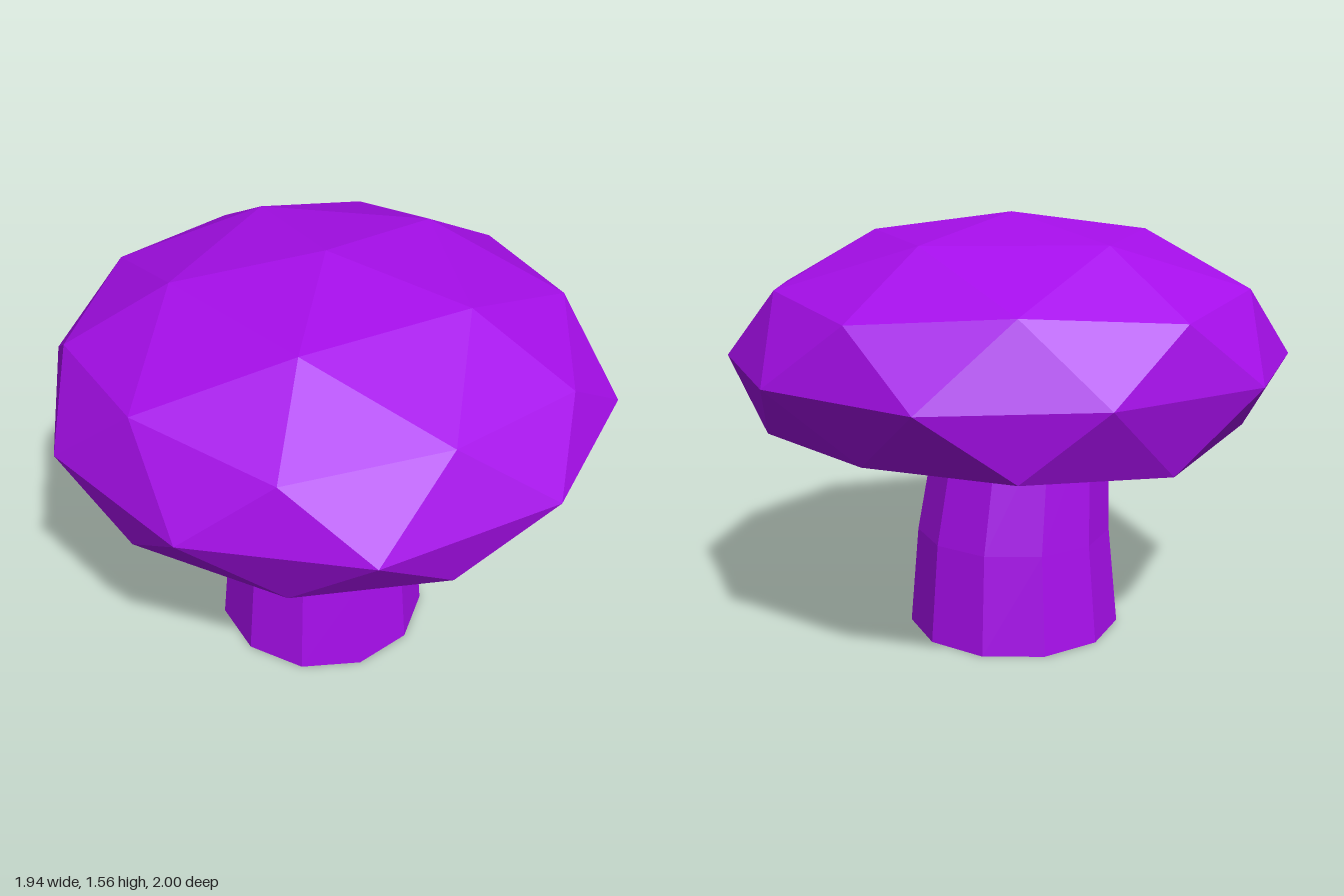
import * as THREE from 'three';

const purple = new THREE.MeshStandardMaterial({ color: 0xa60eea, flatShading: true });

// Cap: flattened icosphere with a pole on top and a flat underside
function createCap() {
  const geo = new THREE.IcosahedronGeometry(1, 1);
  geo.rotateZ(-Math.atan(2 / (1 + Math.sqrt(5))));
  const pos = geo.attributes.position;
  // Small irregularities: [vertex on the unit sphere, offset]
  const nudges = [
    [[0.95, 0, 0.31], [0.02, 0, -0.03]],
    [[0.95, 0, -0.31], [0.02, 0, -0.03]],
    [[-0.95, 0, 0.31], [-0.02, 0, -0.03]],
    [[-0.95, 0, -0.31], [0.01, 0, -0.01]],
    [[-0.59, 0, -0.81], [0.04, 0, 0.03]],
    [[-0.89, -0.45, 0], [0.05, 0.02, 0]],
    [[0.26, -0.53, 0.81], [0, -0.025, -0.03]],
    [[0.26, -0.53, -0.81], [0, 0.03, 0.03]],
    [[-0.69, -0.53, 0.5], [0.02, 0.02, 0]],
    [[0.85, -0.53, 0], [0.02, 0, 0]],
  ].map(([at, by]) => [new THREE.Vector3(...at), new THREE.Vector3(...by)]);
  const v = new THREE.Vector3();
  for (let i = 0; i < pos.count; i++) {
    v.fromBufferAttribute(pos, i);
    const nudge = nudges.find(([at]) => at.distanceTo(v) < 0.08);
    v.y = 1.05 + 0.51 * Math.max(v.y, -0.55);
    if (nudge) v.add(nudge[1]);
    pos.setXYZ(i, v.x, v.y, v.z);
  }
  geo.computeVertexNormals();
  const cap = new THREE.Mesh(geo, purple);
  cap.name = 'cap';
  return cap;
}

// Stem: eleven-sided, tapering and leaning slightly, rising into the cap
function createStem() {
  const rings = [
    { y: 0, r: 0.4, x: 0.003, z: 0.045 },
    { y: 0.37, r: 0.365, x: 0.005, z: 0.045 },
    { y: 0.85, r: 0.316, x: -0.026, z: 0.076 },
  ];
  const geo = new THREE.CylinderGeometry(1, 1, 2, 11, 2, false, Math.PI);
  const pos = geo.attributes.position;
  for (let i = 0; i < pos.count; i++) {
    const ring = rings[Math.round(pos.getY(i) + 1)];
    pos.setXYZ(i, ring.x + ring.r * pos.getX(i), ring.y, ring.z + ring.r * pos.getZ(i));
  }
  geo.computeVertexNormals();
  const stem = new THREE.Mesh(geo, purple);
  stem.name = 'stem';
  return stem;
}

export function createModel() {
  const mushroom = new THREE.Group();
  mushroom.name = 'mushroom';
  mushroom.add(createStem(), createCap());
  return mushroom;
}
